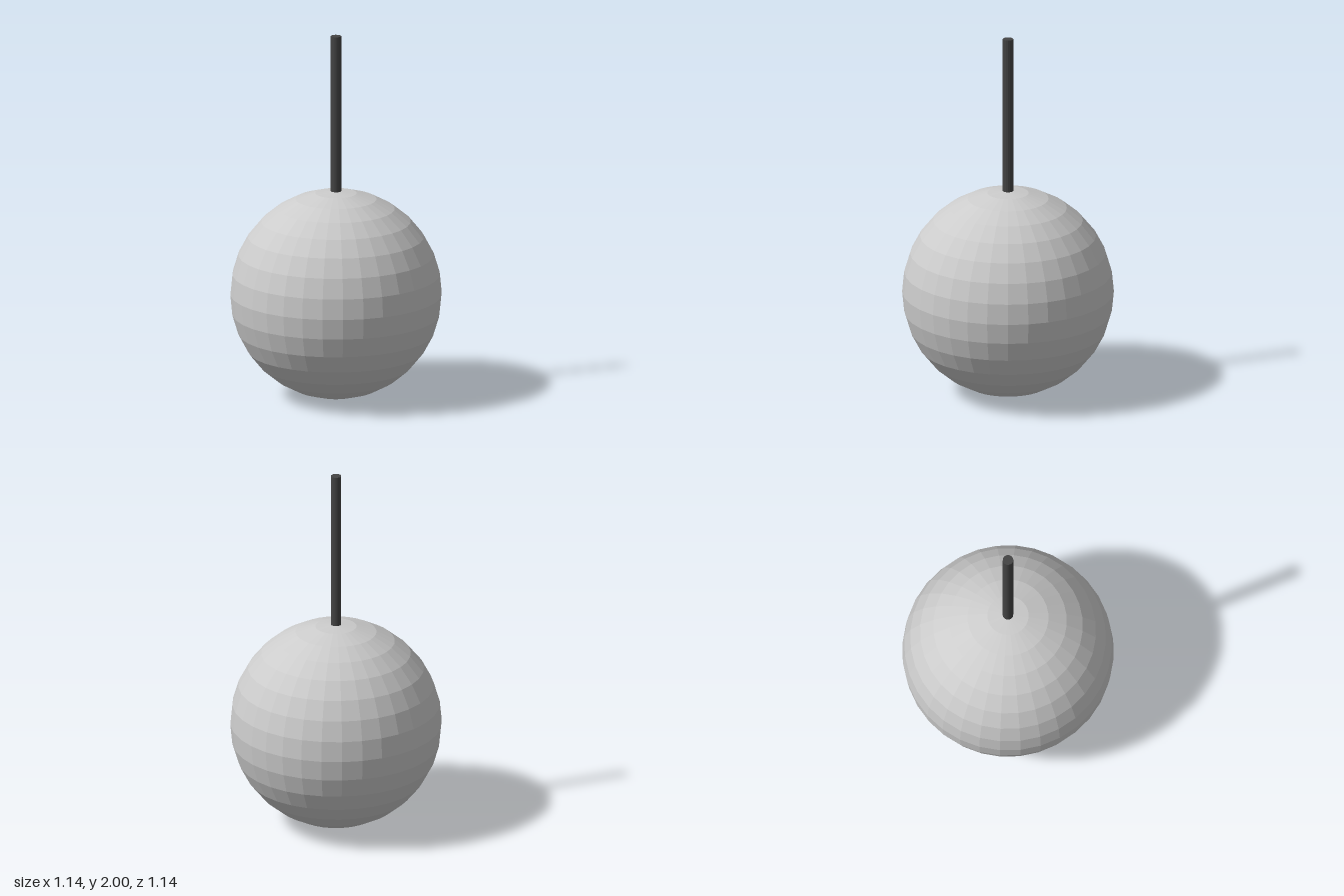
import * as THREE from 'three';

const RADIUS = 0.568;
const CENTRE_Y = 0.573;
const ROD_RADIUS = 0.0284;
const TOP = 2;

export function createModel() {
  const group = new THREE.Group();
  const add = (name, geometry, color, y) => {
    const material = new THREE.MeshStandardMaterial({ color, flatShading: true });
    const mesh = new THREE.Mesh(geometry, material);
    mesh.name = name;
    mesh.position.y = y;
    group.add(mesh);
  };

  // Faceted ball
  add('ball', new THREE.SphereGeometry(RADIUS, 32, 16), 0xcccccc, CENTRE_Y);

  // Upright rod standing on top of the ball
  const rodBase = CENTRE_Y + RADIUS;
  const rodLength = TOP - rodBase;
  add('rod', new THREE.CylinderGeometry(ROD_RADIUS, ROD_RADIUS, rodLength, 16), 0x444444, rodBase + rodLength / 2);

  return group;
}
